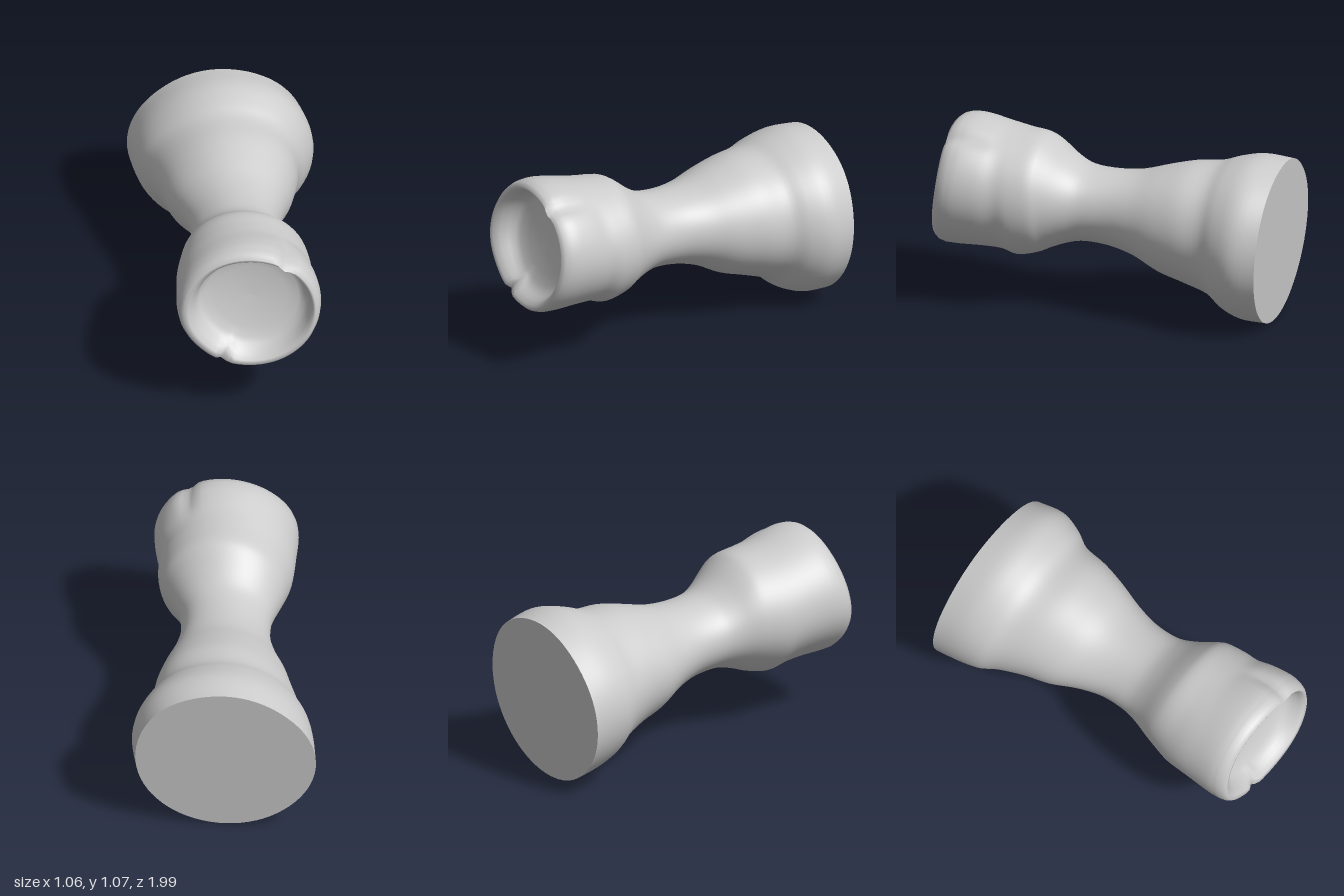
import * as THREE from 'three';

// Body stations: z, left/right limits in x, lower/upper limits in y
const STATIONS = [
  [-0.967, -0.53, 0.50, 0.0, 0.95], [-0.82, -0.51, 0.526, 0.02, 0.972],
  [-0.7, -0.48, 0.49, 0.065, 0.945], [-0.6, -0.43, 0.435, 0.14, 0.91],
  [-0.45, -0.375, 0.415, 0.20, 0.90], [-0.3, -0.33, 0.38, 0.25, 0.865],
  [-0.15, -0.265, 0.33, 0.33, 0.825], [0, -0.22, 0.297, 0.375, 0.815],
  [0.15, -0.215, 0.30, 0.39, 0.83], [0.25, -0.235, 0.335, 0.375, 0.88],
  [0.35, -0.27, 0.39, 0.34, 0.96], [0.42, -0.29, 0.43, 0.31, 1.0],
  [0.53, -0.315, 0.45, 0.285, 1.015], [0.62, -0.325, 0.45, 0.31, 1.03],
  [0.72, -0.33, 0.473, 0.32, 1.05], [0.84, -0.335, 0.488, 0.32, 1.073],
  [0.91, -0.328, 0.482, 0.322, 1.072],
];
// Rolled rim and hollow: z, fraction of the last station's size
const HOLLOW = [
  [0.94, 0.975], [0.96, 0.93], [0.955, 0.88], [0.925, 0.83], [0.885, 0.79],
  [0.85, 0.74], [0.832, 0.66], [0.818, 0.5], [0.808, 0.25], [0.805, 0.001],
];
const SIDES = 72;
const { smoothstep } = THREE.MathUtils;
const bump = (d, width) => Math.exp(-((d / width) ** 2));

// Smoothly fills in the stations, then adds the rim and hollow
function makeRings() {
  const xs = new THREE.CatmullRomCurve3(STATIONS.map(s => new THREE.Vector3(s[0], s[1], s[2])), false, 'catmullrom', 0.5);
  const ys = new THREE.CatmullRomCurve3(STATIONS.map(s => new THREE.Vector3(s[0], s[3], s[4])), false, 'catmullrom', 0.5);
  const rings = [];
  const steps = (STATIONS.length - 1) * 4;
  for (let i = 0; i <= steps; i++) {
    const a = xs.getPoint(i / steps), b = ys.getPoint(i / steps);
    rings.push({ z: a.x, cx: (a.y + a.z) / 2, rx: (a.z - a.y) / 2, cy: (b.y + b.z) / 2, ry: (b.z - b.y) / 2, k: 1 });
  }
  const last = rings[steps];
  for (const [z, k] of HOLLOW) {
    // the hollow sits a little towards the thinner side of the wall
    const shift = 1 - smoothstep(k, 0.78, 0.93);
    rings.push({
      ...last, z, k, inside: k < 0.9, rx: last.rx * k, ry: last.ry * k,
      cx: last.cx + 0.018 * shift, cy: last.cy + 0.012 * shift,
    });
  }
  return rings;
}

// One point of a ring, with uneven outline, tilted ends and worn dents
function ringPoint(r, t) {
  let scale = 1;
  // base and waist lean fuller on one upper side, flatter on the other
  const back = 1 - smoothstep(r.z, 0.1, 0.4);
  scale += back * (0.025 * bump(t - 0.8, 0.45) - 0.03 * bump(t - 2.3, 0.5) - 0.01 * bump(t - 3.9, 0.4));
  // flattened lower side of the head
  scale -= 0.03 * (1 - back) * bump(t - 3.85, 0.4);
  // dent across the upper edge of the rim
  if (!r.inside) scale -= 0.07 * bump(t - 0.98, 0.11) * smoothstep(r.z, 0.6, 0.86);
  // lip pushed into the hollow near the lower edge
  if (r.inside) scale -= 0.07 * bump(t - 4.29, 0.09) * smoothstep(r.k, 0.6, 0.78);
  const x = r.cx + r.rx * scale * Math.cos(t);
  const dy = r.ry * scale * Math.sin(t);
  // the floor of the hollow is deeper at the top
  const floorTilt = -0.1 * (1 - smoothstep(r.k, 0.72, 0.85));
  const tilt = -0.068 * smoothstep(-r.z, 0.6, 0.967) - 0.1 * smoothstep(r.z, 0.6, 0.8) + floorTilt;
  // small notch and waviness in the rim
  const rim = smoothstep(r.z, 0.86, 0.95);
  const wave = rim * (0.03 * bump(t - 4.29, 0.07) + 0.006 * Math.sin(3 * t + 1));
  return [x, r.cy + dy, r.z + tilt * dy - wave];
}

function makeGeometry(positions, index) {
  const g = new THREE.BufferGeometry();
  g.setAttribute('position', new THREE.Float32BufferAttribute(positions, 3));
  g.setIndex(index);
  g.computeVertexNormals();
  return g;
}

export function createModel() {
  const group = new THREE.Group();
  const material = new THREE.MeshStandardMaterial({ color: 0xcccccc });
  const add = (name, geometry) => {
    const mesh = new THREE.Mesh(geometry, material);
    mesh.name = name;
    group.add(mesh);
  };
  const rings = makeRings();
  const angle = j => (j / SIDES) * Math.PI * 2;

  // Waisted body with a hollow front
  const pos = [], idx = [];
  rings.forEach((r, i) => {
    for (let j = 0; j < SIDES; j++) {
      pos.push(...ringPoint(r, angle(j)));
      if (i === rings.length - 1) continue;
      const k = (j + 1) % SIDES;
      const a = i * SIDES + j, b = i * SIDES + k, c = a + SIDES, d = b + SIDES;
      idx.push(a, b, c, b, d, c);
    }
  });
  add('body', makeGeometry(pos, idx));

  // Flat, slightly tilted base
  const base = rings[0];
  const capPos = [base.cx, base.cy, base.z], capIdx = [];
  for (let j = 0; j < SIDES; j++) {
    capPos.push(...ringPoint(base, angle(j)));
    capIdx.push(0, 1 + ((j + 1) % SIDES), 1 + j);
  }
  add('base', makeGeometry(capPos, capIdx));

  return group;
}
